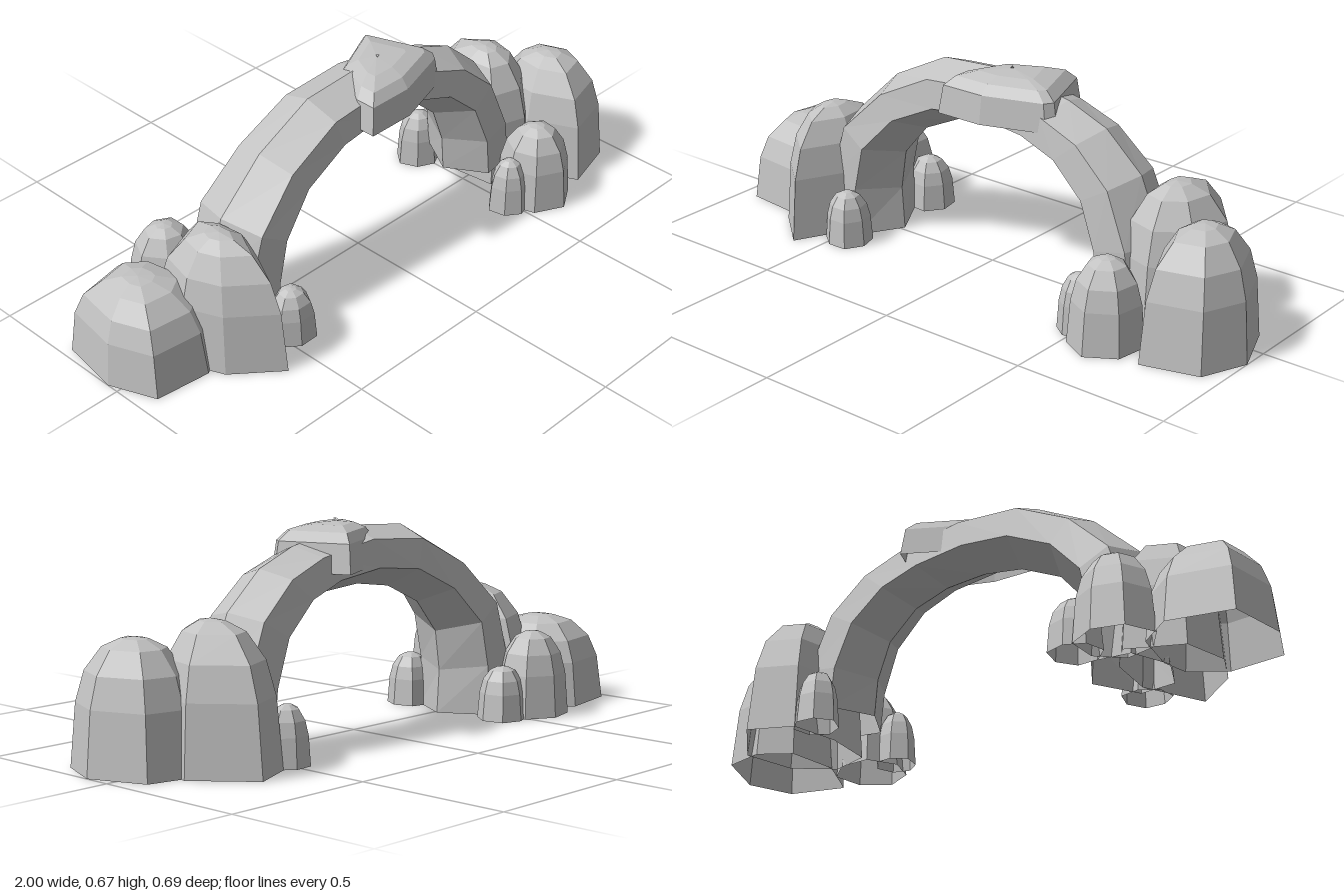
import * as THREE from 'three';

const stone = new THREE.MeshStandardMaterial({ color: 0xc2c2c2, flatShading: true, side: THREE.DoubleSide });
stone.name = 'stone grey';

// Skin a list of equally long rings of [x, y, z] points
function loft(name, rings) {
  const n = rings[0].length;
  const index = [];
  for (let i = 0; i < rings.length - 1; i++) {
    for (let j = 0; j < n; j++) {
      const a = i * n + j, b = i * n + (j + 1) % n;
      index.push(a, a + n, b, b, a + n, b + n);
    }
  }
  const geo = new THREE.BufferGeometry();
  geo.setAttribute('position', new THREE.Float32BufferAttribute(rings.flat(2), 3));
  geo.setIndex(index);
  geo.computeVertexNormals();
  const mesh = new THREE.Mesh(geo, stone);
  mesh.name = name;
  return mesh;
}

// Dome: a footprint of [x, z] corners shrinking towards an apex; profile rows are [scale, height fraction]
const ROCK = [[1, 0], [0.91, 0.5], [0.77, 0.74], [0.5, 0.92], [0.22, 0.985], [0.001, 1]];
function dome(name, foot, [ax, az], y0, height, profile = ROCK) {
  return loft(name, profile.map(([s, h]) =>
    foot.map(([x, z]) => [ax + (x - ax) * s, y0 + h * height, az + (z - az) * s])));
}

// Irregular round footprint for the smaller rocks
function roundFoot(cx, cz, r, sides, turn) {
  return Array.from({ length: sides }, (_, i) => {
    const a = turn + (i / sides) * Math.PI * 2;
    const k = r * (1 + 0.06 * Math.sin(i * 2.3 + turn));
    return [cx + Math.cos(a) * k, cz + Math.sin(a) * k];
  });
}

export function createModel() {
  const group = new THREE.Group();
  group.name = 'rockArch';

  // Arch: outer ridge x, y, inner ridge x, y, half width
  const stations = [
    [0.65, 0.09, 0.415, 0.08, 0.12], [0.63, 0.24, 0.405, 0.2, 0.12], [0.55, 0.43, 0.36, 0.32, 0.113],
    [0.42, 0.545, 0.26, 0.41, 0.105], [0.28, 0.6, 0.14, 0.45, 0.1], [0.04, 0.645, 0, 0.46, 0.1],
    [-0.2, 0.63, -0.14, 0.44, 0.105], [-0.4, 0.53, -0.28, 0.375, 0.112], [-0.56, 0.38, -0.37, 0.27, 0.13],
    [-0.62, 0.2, -0.39, 0.14, 0.13], [-0.64, 0, -0.38, 0, 0.13],
  ];
  const section = [[0, 0], [0.22, 1], [0.68, 1.1], [1, 0], [0.68, -1.1], [0.2, -1]];
  group.add(loft('arch', stations.map(([ox, oy, ix, iy, w]) =>
    section.map(([t, s]) => [ox + (ix - ox) * t, oy + (iy - oy) * t, -0.014 + s * w]))));

  // Capstone with a slanted footprint
  const cap = [[0.29, 0.055], [0.27, 0.085], [0.07, 0.15], [-0.09, 0.15], [-0.09, 0.08], [-0.02, -0.07], [0.205, -0.178]];
  group.add(dome('capstone', cap, [0.08, 0], 0.52, 0.14,
    [[1, 0], [0.93, 0.64], [0.76, 0.85], [0.46, 0.96], [0.001, 1]]));

  // Tiny chip on the capstone
  const chip = new THREE.Mesh(new THREE.TetrahedronGeometry(0.007), stone);
  chip.name = 'stoneChip';
  chip.position.set(0.08, 0.665, 0.004);
  group.add(chip);

  // Large boulders at the feet
  const boulders = [
    ['rightOuterBoulder', [[-0.63, -0.03], [-0.65, 0.06], [-0.76, 0.13], [-0.94, 0.11], [-1, -0.04], [-0.97, -0.24],
      [-0.77, -0.28], [-0.66, -0.19]], [-0.83, -0.08], 0.285],
    ['rightInnerBoulder', [[-0.49, 0.09], [-0.59, 0.29], [-0.73, 0.17], [-0.785, 0.04], [-0.75, -0.11], [-0.58, -0.18],
      [-0.51, -0.08]], [-0.625, 0.05], 0.4],
    ['leftOuterBoulder', [[1, 0.085], [0.94, 0.23], [0.76, 0.28], [0.68, 0.11], [0.7, -0.06], [0.8, -0.12],
      [0.93, -0.09]], [0.83, 0.07], 0.385],
    ['leftInnerBoulder', [[0.79, 0.04], [0.67, 0.13], [0.54, 0.09], [0.52, -0.08], [0.55, -0.24], [0.69, -0.3],
      [0.83, -0.13]], [0.65, -0.05], 0.43],
  ];
  for (const [name, foot, apex, h] of boulders) group.add(dome(name, foot, apex, 0, h));

  // Smaller rocks: x, z, radius, height, sides, turn
  const rocks = [
    ['rightBackRock', -0.595, -0.235, 0.118, 0.27, 7, 0.4],
    ['rightBackPebble', -0.455, -0.225, 0.079, 0.17, 7, 0.2],
    ['rightFrontPebble', -0.46, 0.17, 0.075, 0.17, 7, 0.1],
    ['leftFrontRock', 0.6, 0.22, 0.118, 0.27, 7, 1.5],
    ['leftFrontPebble', 0.49, 0.205, 0.066, 0.18, 7, 0.8],
    ['leftBackPebble', 0.495, -0.2, 0.072, 0.18, 7, 0.6],
  ];
  for (const [name, x, z, r, h, sides, turn] of rocks) {
    group.add(dome(name, roundFoot(x, z, r, sides, turn), [x, z], 0, h));
  }
  return group;
}
